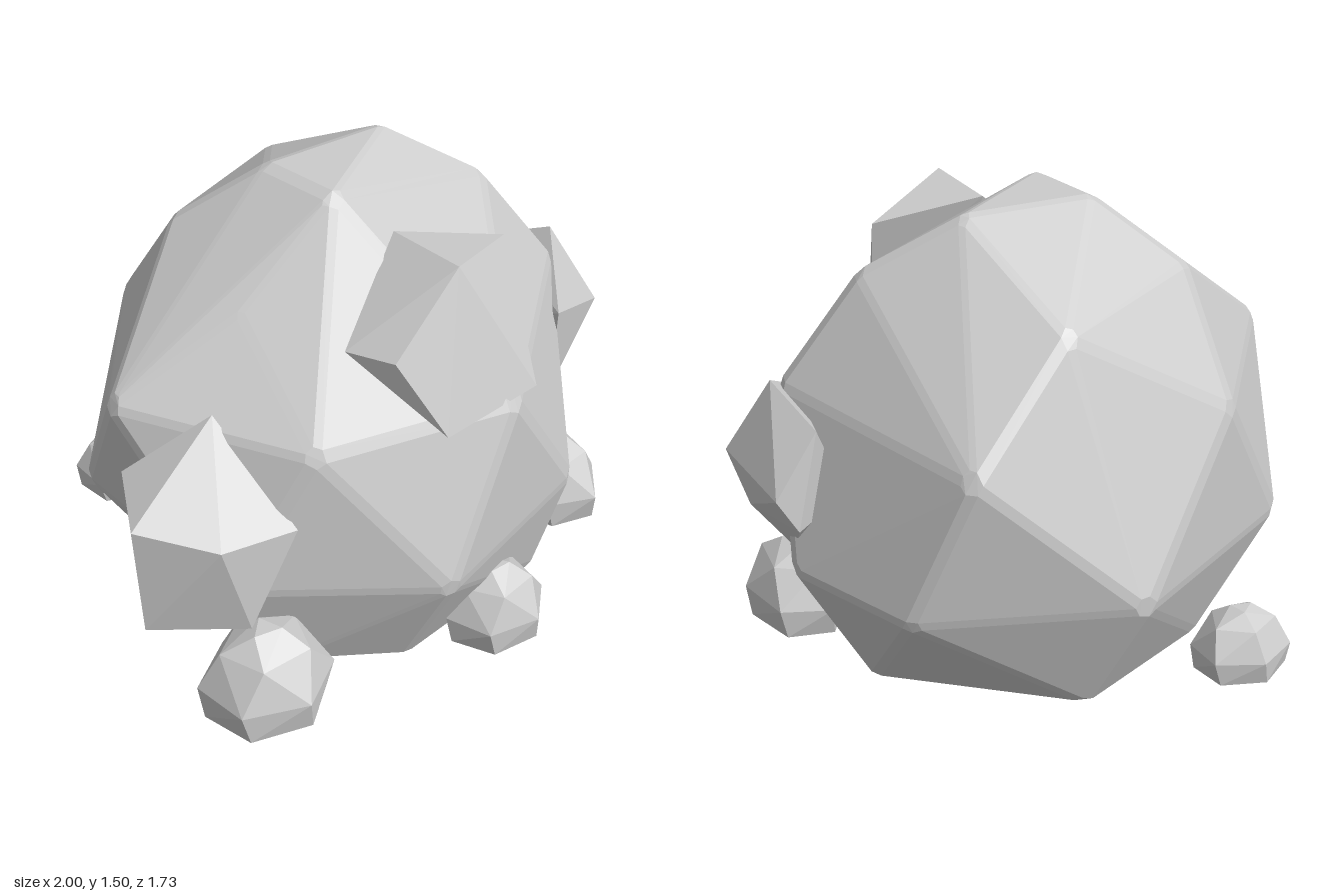
import * as THREE from 'three';
import { ConvexGeometry } from 'three/addons/geometries/ConvexGeometry.js';

const stone = new THREE.MeshStandardMaterial({ color: 0xcccccc });
stone.name = 'light grey stone';

const toPoints = (list) => list.map((p) => new THREE.Vector3(...p));

// Convex faceted rock through a few corner points
function facetedRock(points) {
  return new ConvexGeometry(points);
}

// Same rock with narrow bevels: every face is shrunk in its own plane, then wrapped again
function bevelledRock(points, amount) {
  const pos = facetedRock(points).getAttribute('position');
  const inset = [];
  for (let i = 0; i < pos.count; i += 3) {
    const tri = [0, 1, 2].map((k) => new THREE.Vector3().fromBufferAttribute(pos, i + k));
    const mid = new THREE.Vector3().add(tri[0]).add(tri[1]).add(tri[2]).divideScalar(3);
    tri.forEach((v) => inset.push(v.lerp(mid, amount)));
  }
  return facetedRock(inset);
}

// Small domed stone resting on the ground
function pebble(cx, cz, rx, h, rz, turn) {
  const pts = [];
  const ring = (n, y, r, shift) => {
    for (let i = 0; i < n; i++) {
      const a = turn + ((i + shift) / n) * Math.PI * 2;
      pts.push(new THREE.Vector3(cx + Math.cos(a) * r * rx, y * h, cz + Math.sin(a) * r * rz));
    }
  };
  ring(6, 0, 0.95, 0);
  ring(6, 0.36, 1.03, 0.1);
  ring(5, 0.8, 0.7, 0.5);
  ring(3, 1, 0.25, 0.2);
  return facetedRock(pts);
}

export function createModel() {
  const group = new THREE.Group();
  group.name = 'rockPile';
  const add = (name, geometry) => {
    const mesh = new THREE.Mesh(geometry, stone);
    mesh.name = name;
    group.add(mesh);
  };

  // Main boulder, flat at the base
  add('mainBoulder', bevelledRock(toPoints([
    // crown
    [-0.1, 1.505, 0.14], [0.3, 1.505, -0.11], [-0.15, 1.505, -0.14], [-0.38, 1.3, -0.34],
    [0.18, 1.25, -0.58], [0.59, 1.31, 0.06], [-0.45, 1.2, 0.12],
    // shoulders
    [-0.85, 0.92, -0.04], [-0.47, 0.88, 0.53], [0.16, 0.94, 0.75], [0.84, 0.94, 0.15],
    [0.56, 0.89, -0.7], [-0.4, 0.9, -0.62],
    // belly
    [-0.15, 0.39, 0.83], [0.55, 0.38, 0.62], [0.91, 0.38, -0.08], [0.73, 0.38, -0.57],
    [0.05, 0.41, -0.88], [-0.73, 0.35, -0.41], [-0.7, 0.37, 0.4],
    // base
    [-0.18, 0, 0.64], [0.46, 0, 0.55], [0.7, 0, -0.22], [0.16, 0, -0.69],
    [-0.38, 0, -0.47], [-0.52, 0, 0.42],
  ]), 0.1));

  // Angular chunks embedded in the boulder
  add('frontChunk', facetedRock(toPoints([
    [0.05, 1.4, 0.57], [0.03, 1.39, 0.28], [-0.27, 1.14, 0.42], [-0.1, 0.91, 0.72],
    [0.25, 0.96, 0.73], [0.36, 1.06, 0.46], [0.375, 1.31, 0.41], [-0.2, 1.15, 0.58],
    [0.05, 1.0, 0.4],
  ])));
  add('rightChunk', facetedRock(toPoints([
    [0.885, 0.985, 0.09], [0.82, 0.88, -0.12], [0.97, 0.67, -0.13], [1, 0.71, 0.22],
    [0.985, 0.58, 0.06], [0.9, 0.55, -0.14], [0.85, 0.4, 0.03], [0.73, 0.48, 0.3],
    [0.71, 0.83, 0.34], [0.7, 0.6, -0.05],
  ])));
  add('leftChunk', facetedRock(toPoints([
    [-1, 0.71, 0.3], [-0.64, 0.955, 0.23], [-0.88, 0.75, 0.07], [-0.8, 0.65, 0.49],
    [-0.53, 0.63, 0.52], [-0.97, 0.3, 0.3], [-0.82, 0.2, 0.25], [-0.7, 0.3, 0.5],
    [-0.86, 0.34, 0.12], [-0.55, 0.4, 0.1],
  ])));

  // Pebbles around the foot
  add('frontLeftPebble', pebble(-0.67, 0.53, 0.225, 0.31, 0.2, 0.3));
  add('frontPebble', pebble(0.15, 0.7, 0.18, 0.26, 0.16, 0.1));
  add('rightPebble', pebble(0.75, 0.29, 0.165, 0.28, 0.22, 0.2));
  add('backPebble', pebble(-0.4, -0.72, 0.165, 0.22, 0.145, 0.4));

  return group;
}
